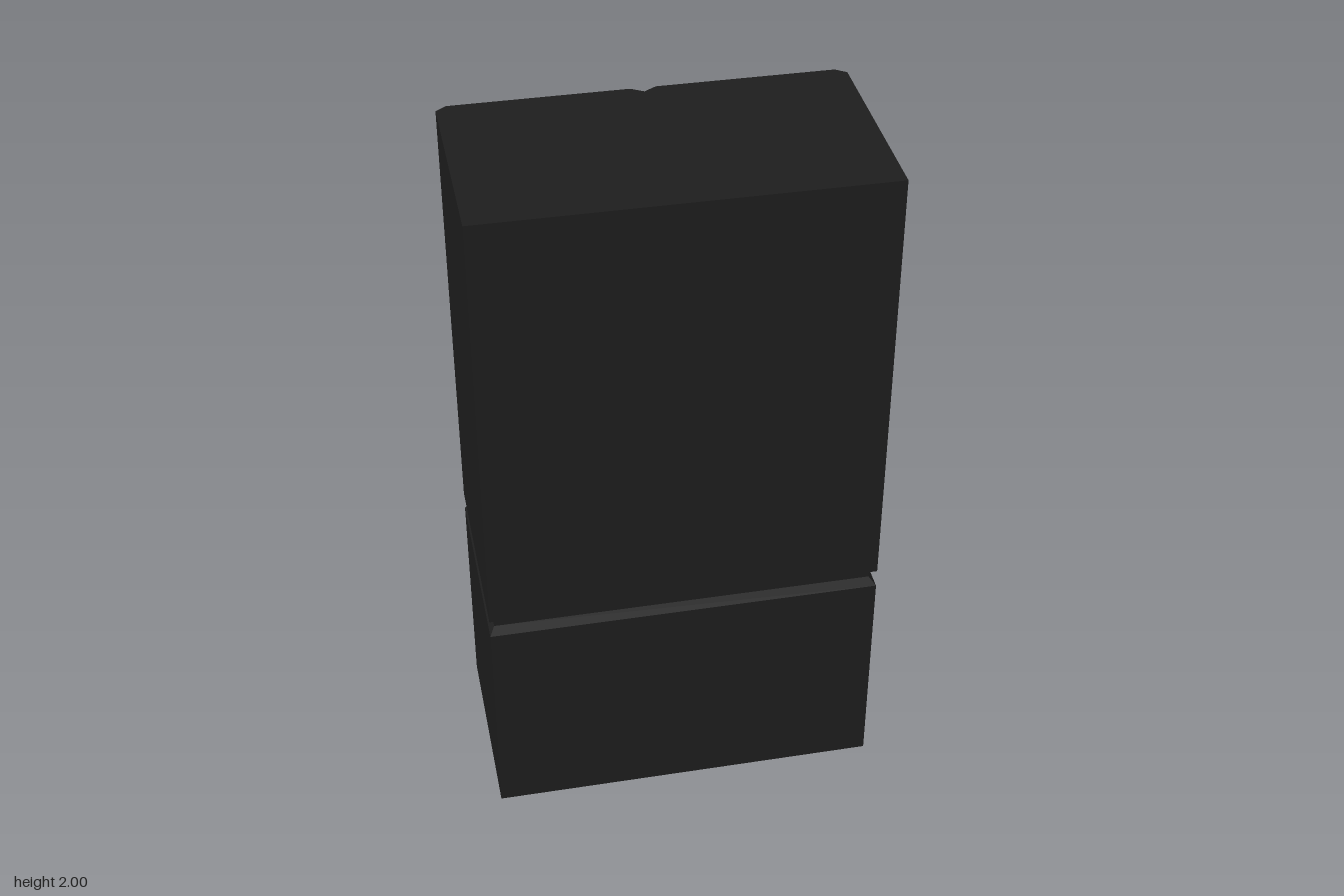
import * as THREE from 'three';

const mat = (color, side = THREE.FrontSide) => new THREE.MeshStandardMaterial({ color, side });
const black = mat(0x1e1e1e);
const jet = mat(0x060606);
const trim = mat(0x666666, THREE.DoubleSide);
const grey = mat(0xcccccc, THREE.DoubleSide);

// niche opening in the left-hand door
const NX0 = -0.435, NX1 = -0.092, NY0 = 0.854, NY1 = 1.22;
const FRONT = 0.318;

// plan outline [x, z]: chamfered corners and a V groove between the doors
function plan(notch) {
  const cut = notch ? [[NX1, FRONT], [NX1, 0.04], [NX0, 0.04], [NX0, FRONT]] : [];
  return [
    [-0.56, -0.29], [0.56, -0.29], [0.56, 0.296], [0.53, FRONT],
    [0.035, FRONT], [0, 0.296], [-0.035, FRONT],
    ...cut, [-0.53, FRONT], [-0.56, 0.296],
  ];
}

export function createModel() {
  const model = new THREE.Group();
  const fridge = new THREE.Group();
  fridge.name = 'refrigerator';
  // the cabinet stands turned away from the axes
  fridge.rotation.y = Math.atan2(-0.797, -0.604);
  model.add(fridge);

  function add(name, geometry, material, x = 0, y = 0, z = 0) {
    const mesh = new THREE.Mesh(geometry, material);
    mesh.name = name;
    mesh.position.set(x, y, z);
    fridge.add(mesh);
    return mesh;
  }

  // upright slab of the plan outline; inset shrinks its lower or upper end
  function slab(name, y0, y1, { notch = false, insetLow = false, insetHigh = false } = {}) {
    const shape = new THREE.Shape(plan(notch).map(([x, z]) => new THREE.Vector2(x, -z)));
    const g = new THREE.ExtrudeGeometry(shape, { depth: y1 - y0, bevelEnabled: false });
    g.rotateX(-Math.PI / 2).translate(0, y0, 0);
    const p = g.attributes.position;
    const mid = (y0 + y1) / 2;
    for (let i = 0; i < p.count; i++) {
      if (p.getY(i) < mid ? insetLow : insetHigh) {
        p.setX(i, p.getX(i) * 0.973);
        p.setZ(i, p.getZ(i) * 0.9);
      }
    }
    g.computeVertexNormals();
    add(name, g, black);
  }

  // cabinet, bottom to top, with the waist between lower and upper doors
  slab('lowerCabinet', 0, 0.655);
  slab('lowerBevel', 0.655, 0.668, { insetHigh: true });
  slab('waist', 0.668, 0.697, { insetLow: true, insetHigh: true });
  slab('upperBevel', 0.697, 0.71, { insetLow: true });
  slab('upperCabinetBase', 0.71, NY0);
  slab('upperCabinetNiche', NY0, NY1, { notch: true });
  slab('upperCabinetTop', NY1, 2);

  // slim handle strip along the door split
  add('doorHandle', new THREE.BoxGeometry(0.034, 1.2, 0.04), black, -0.022, 1.3, 0.312);

  // screen standing proud of one door, glass panel on the other
  add('screenPanel', new THREE.PlaneGeometry(0.383, 0.606), grey, -0.275, 1.645, 0.355);
  add('glassPanel', new THREE.PlaneGeometry(0.476, 1.04), grey, 0.282, 1.29, 0.326);

  // dispenser niche: walls splaying from the back to the opening
  const front = [[NX0, NY0], [NX1, NY0], [NX1, NY1], [NX0, NY1]].map(([x, y]) => [x, y, 0.317]);
  const back = [[-0.355, 0.9], [-0.172, 0.9], [-0.172, NY1 - 0.002], [-0.355, NY1 - 0.002]]
    .map(([x, y]) => [x, y, 0.05]);
  function quad(name, corners, material) {
    const [a, b, c, d] = corners;
    const g = new THREE.BufferGeometry();
    g.setAttribute('position', new THREE.Float32BufferAttribute([a, b, c, a, c, d].flat(), 3));
    g.computeVertexNormals();
    add(name, g, material);
  }
  ['nicheFloor', 'nicheRightWall', 'nicheCeiling', 'nicheLeftWall'].forEach((name, i) => {
    const j = (i + 1) % 4;
    quad(name, [front[i], front[j], back[j], back[i]], i === 0 ? grey : trim);
  });
  quad('nicheBack', back, trim);

  // control band above the niche, spout housing and stepped nozzle
  add('controlBand', new THREE.BoxGeometry(NX1 - NX0, 0.13, 0.01), trim, (NX0 + NX1) / 2, NY1 + 0.065, 0.317);
  add('spoutHousing', new THREE.BoxGeometry(0.13, 0.07, 0.12), jet, -0.265, 1.25, 0.266);
  const profile = [[0, 1.07], [0.012, 1.075], [0.016, 1.1], [0.032, 1.11], [0.034, 1.13],
    [0.045, 1.14], [0.045, 1.22]].map(([r, y]) => new THREE.Vector2(r, y));
  const nozzle = new THREE.LatheGeometry(profile, 24);
  add('nozzle', nozzle, trim, -0.265, 0, 0.2);

  return model;
}
